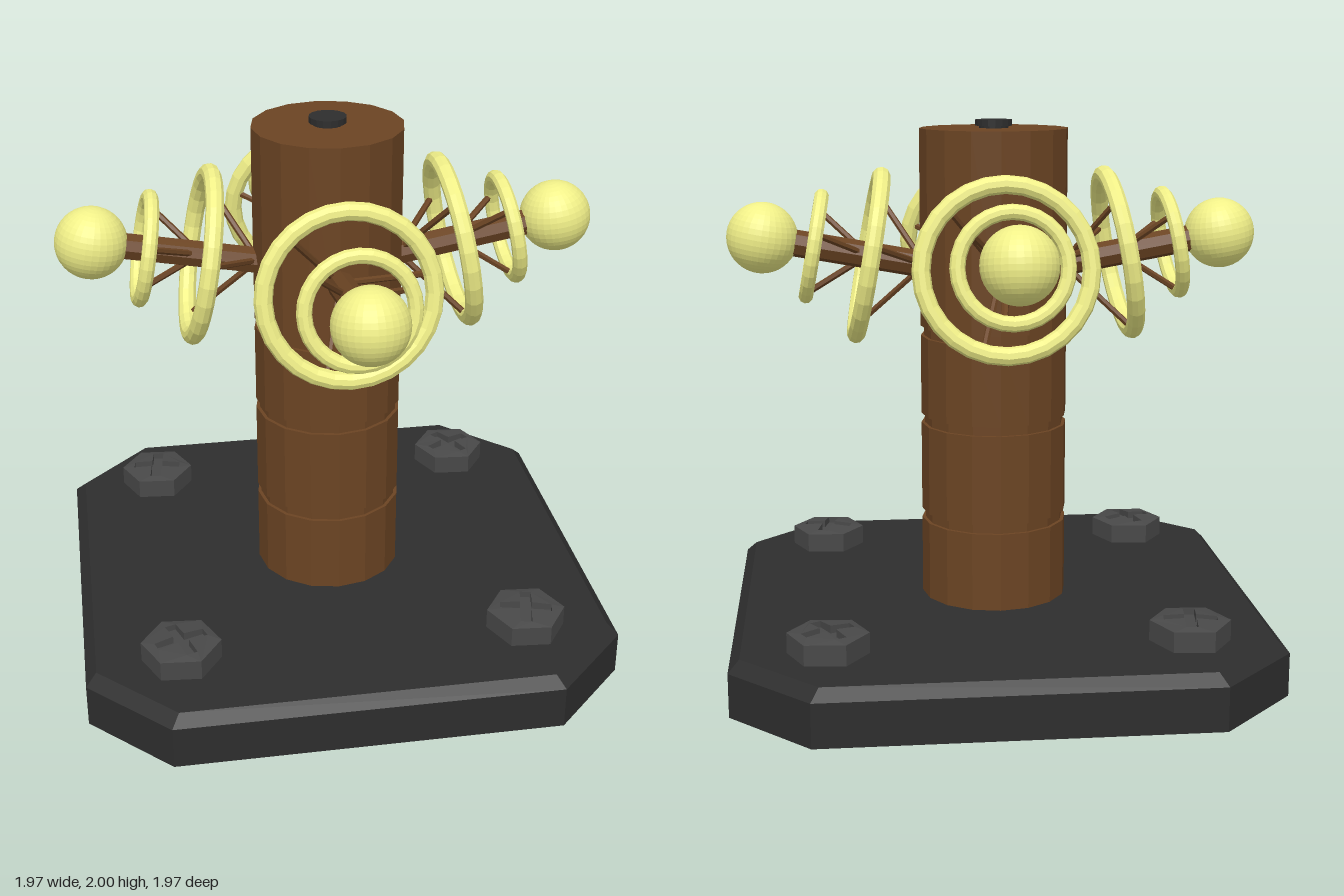
import * as THREE from 'three';

const paint = (color) => new THREE.MeshStandardMaterial({ color, flatShading: true });
const wood = paint(0x6b4423);
const iron = paint(0x2d2d2d);
const steel = paint(0x484848);
const glow = paint(0xf0ef88);
const UP = new THREE.Vector3(0, 1, 0);
const rad = THREE.MathUtils.degToRad;

function add(parent, name, geometry, material) {
  const mesh = new THREE.Mesh(geometry, material);
  mesh.name = name;
  parent.add(mesh);
  return mesh;
}

// Straight rod between two points
function rod(parent, name, a, b, radius, sides) {
  const dir = b.clone().sub(a);
  const mesh = add(parent, name, new THREE.CylinderGeometry(radius, radius, dir.length(), sides), wood);
  mesh.position.copy(a).lerp(b, 0.5);
  mesh.quaternion.setFromUnitVectors(UP, dir.normalize());
  return mesh;
}

// Square plate with cut corners and a chamfered top edge
function basePlate() {
  const h = 0.985, c = 0.7;
  const corners = [[c, h], [-c, h], [-h, c], [-h, -c], [-c, -h], [c, -h], [h, -c], [h, c]];
  const shape = new THREE.Shape(corners.map(([x, y]) => new THREE.Vector2(x, y)));
  const geo = new THREE.ExtrudeGeometry(shape, { depth: 0.2, steps: 2, bevelEnabled: false });
  geo.rotateX(-Math.PI / 2);
  const p = geo.attributes.position;
  for (let i = 0; i < p.count; i++) {
    const y = p.getY(i);
    if (y > 0.15) p.setXYZ(i, p.getX(i) * 0.96, y, p.getZ(i) * 0.96);
    else if (y > 0.05) p.setY(i, 0.16);
  }
  geo.computeVertexNormals();
  return geo;
}

// Hex bolt head with a slightly domed top and a cross-shaped recess
function bolt(parent, x, z, crossTurn) {
  const group = new THREE.Group();
  group.name = 'bolt';
  group.position.set(x, 0.19, z);
  parent.add(group);
  const R = 0.145;
  const hex = [];
  for (let i = 0; i < 6; i++) {
    const a = rad(i * 60 - 5);
    hex.push(new THREE.Vector2(R * Math.cos(a), R * Math.sin(a)));
  }
  const shape = new THREE.Shape(hex);
  const w = 0.021, l = 0.095, cross = [];
  for (let i = 0; i < 4; i++) {
    for (const [px, py] of [[w, w], [w, l], [-w, l]]) {
      cross.push(new THREE.Vector2(px, py).rotateAround(new THREE.Vector2(), i * Math.PI / 2 + crossTurn));
    }
  }
  shape.holes.push(new THREE.Path(cross));
  const geo = new THREE.ExtrudeGeometry(shape, { depth: 0.1, bevelEnabled: false });
  geo.rotateX(-Math.PI / 2);
  const p = geo.attributes.position;
  for (let i = 0; i < p.count; i++) {
    const r = Math.hypot(p.getX(i), p.getZ(i)) / R;
    if (p.getY(i) > 0.05) p.setY(i, 0.1 - 0.015 * r * r);
  }
  geo.computeVertexNormals();
  add(group, 'boltHead', geo, steel);
  const floor = add(group, 'boltRecessFloor', new THREE.CylinderGeometry(0.11, 0.11, 0.07, 12), steel);
  floor.position.y = 0.035;
}

// Round post with three shallow grooves
function post() {
  const R = 0.275, r = 0.262;
  const pts = [[0, 0.19], [R, 0.19]];
  for (const y of [0.495, 0.867, 1.202]) {
    pts.push([R, y], [r, y], [r, y + 0.036], [R, y + 0.036]);
  }
  pts.push([R, 1.97], [0, 1.97]);
  return new THREE.LatheGeometry(pts.map(([x, y]) => new THREE.Vector2(x, y)), 16);
}

// Ring around the arm axis with three struts running back to the arm
function ringWithStruts(arm, name, z, R, tube, back, turn) {
  const ring = add(arm, name, new THREE.TorusGeometry(R, tube, 10, 28), glow);
  ring.position.z = z;
  for (let i = 0; i < 3; i++) {
    const a = rad(turn + i * 120);
    const at = (radius, d) => new THREE.Vector3(radius * Math.cos(a), radius * Math.sin(a), d);
    rod(arm, 'strut', at(0.03, z - back), at(R, z), 0.012, 6);
  }
}

// Arm rising outward along +z, carrying two rings and a ball
function arm(turnY) {
  const outer = new THREE.Group();
  outer.name = 'arm';
  outer.rotation.y = turnY;
  const inner = new THREE.Group();
  inner.name = 'armTilt';
  inner.position.set(0, 1.421, 0);
  inner.rotation.x = -rad(10.2);
  outer.add(inner);
  rod(inner, 'armRod', new THREE.Vector3(0, 0, 0.15), new THREE.Vector3(0, 0, 0.82), 0.05, 8);
  ringWithStruts(inner, 'largeRing', 0.474, 0.297, 0.033, 0.19, 13);
  ringWithStruts(inner, 'smallRing', 0.678, 0.187, 0.027, 0.17, 20);
  const ball = add(inner, 'ball', new THREE.SphereGeometry(0.131, 32, 20), glow);
  ball.position.z = 0.868;
  return outer;
}

export function createModel() {
  const model = new THREE.Group();
  model.name = 'ringedPost';

  add(model, 'basePlate', basePlate(), iron);
  add(model, 'post', post(), wood);

  // Cap on a narrow neck
  const neck = add(model, 'capNeck', new THREE.CylinderGeometry(0.055, 0.055, 0.03, 16), iron);
  neck.position.y = 1.97;
  const cap = add(model, 'cap', new THREE.CylinderGeometry(0.068, 0.068, 0.022, 16), iron);
  cap.position.y = 1.989;

  // Corner bolts, each driven to a different angle
  bolt(model, -0.637, -0.64, rad(-8));
  bolt(model, 0.64, -0.64, rad(28));
  bolt(model, -0.637, 0.637, rad(20));
  bolt(model, 0.64, 0.637, rad(-14));

  for (let i = 0; i < 4; i++) model.add(arm(i * Math.PI / 2));
  return model;
}
